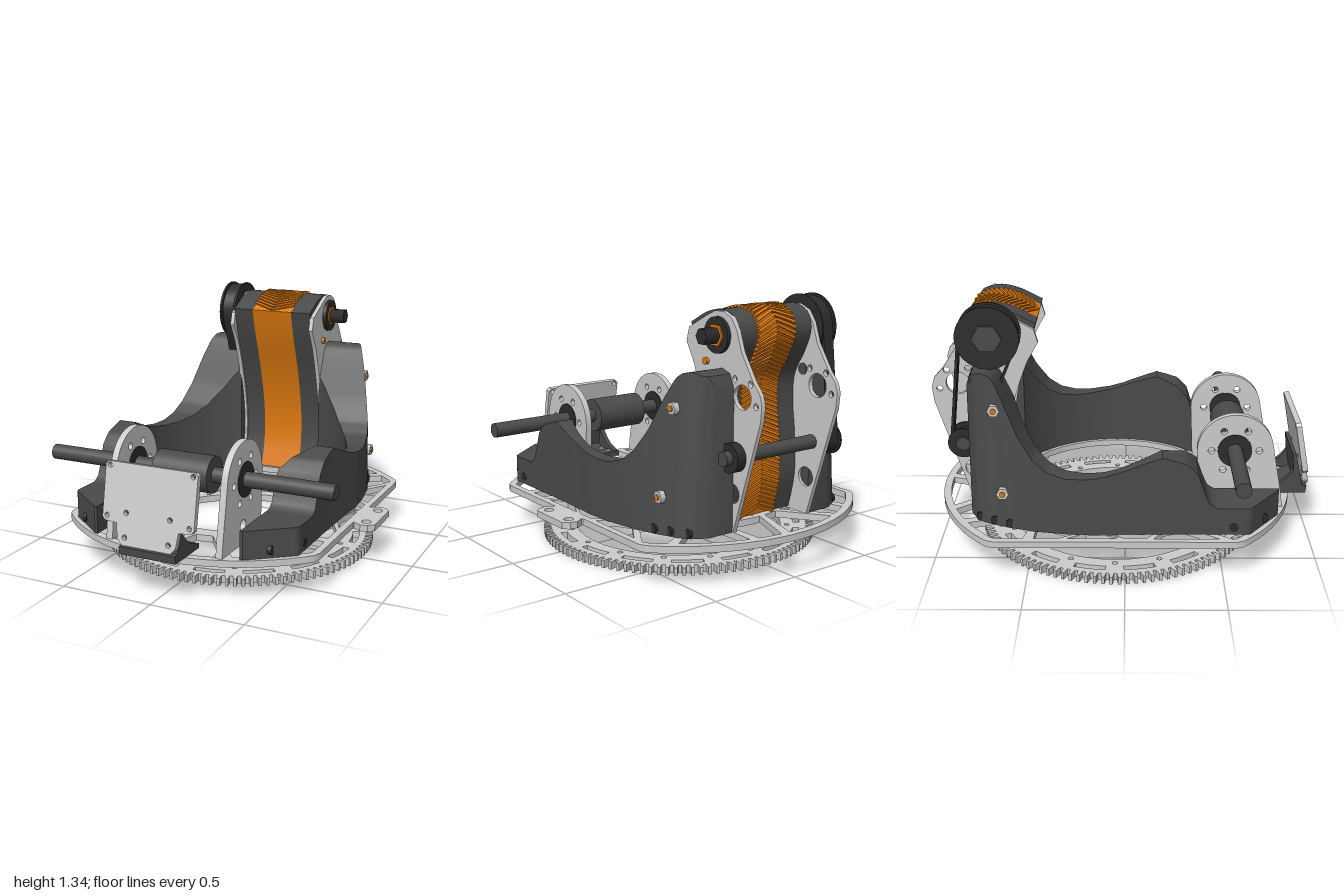
import * as THREE from 'three';
import { toCreasedNormals } from 'three/addons/utils/BufferGeometryUtils.js';

const mat = (color) => new THREE.MeshStandardMaterial({ color, side: THREE.DoubleSide });
const light = mat(0xcccccc), dark = mat(0x4a4a4a), black = mat(0x2c2c2c), orange = mat(0xe07b10);
const C = -0.052; // z of the turntable axis
const V = (p) => new THREE.Vector2(p[0], p[1]);
const polar = (r, a) => [r * Math.cos(a), r * Math.sin(a)];

export function createModel() {
  const root = new THREE.Group();
  root.name = 'turretMechanism';
  root.position.x = -0.02;

  const add = (name, geo, material) => {
    const m = new THREE.Mesh(geo, material);
    m.name = name;
    root.add(m);
    return m;
  };
  const shapeOf = (pts, holes = []) => {
    const s = new THREE.Shape(pts.map(V));
    holes.forEach(([x, y, r]) => s.holes.push(new THREE.Path().absarc(x, y, r, 0, Math.PI * 2, true)));
    return s;
  };
  const extrude = (shape, depth) =>
    toCreasedNormals(new THREE.ExtrudeGeometry(shape, { depth, bevelEnabled: false, curveSegments: 20 }), 0.5);
  // upright slab: shape drawn in (z, y), thickness along x
  const slabX = (name, shape, x, d, m) => add(name, extrude(shape, d).rotateY(-Math.PI / 2).translate(x + d / 2, 0, 0), m);
  // flat slab: shape drawn in (x, -z) around the turntable axis
  const slabY = (name, shape, y, d, m) => add(name, extrude(shape, d).rotateX(-Math.PI / 2).translate(0, y, C), m);
  const cylX = (name, r, len, x, y, z, m, seg = 32) =>
    add(name, new THREE.CylinderGeometry(r, r, len, seg).rotateZ(Math.PI / 2).translate(x, y, z), m);
  // piecewise linear table lookup, keys descending
  const table = (pts) => (z) => {
    let i = 0;
    while (i < pts.length - 2 && z < pts[i + 1][0]) i++;
    const [a, b] = [pts[i], pts[i + 1]];
    return a[1] + ((b[1] - a[1]) * THREE.MathUtils.clamp((z - a[0]) / (b[0] - a[0]), 0, 1));
  };
  const sector = (ri, ro, a0, a1, b0, b1, n = 8) => {
    const pts = [];
    for (let i = 0; i <= n; i++) pts.push(polar(ri, a0 + ((a1 - a0) * i) / n));
    for (let i = n; i >= 0; i--) {
      const t = b0 + ((b1 - b0) * i) / n;
      pts.push(polar(typeof ro === 'function' ? ro(t) : ro, t));
    }
    return new THREE.Path(pts.map(V));
  };

  // Ring gear with teeth, slots and bolt holes
  const teeth = 110, gearPts = [];
  for (let i = 0; i < teeth; i++)
    [[0, 0.705], [0.3, 0.705], [0.42, 0.745], [0.78, 0.745], [0.9, 0.705]].forEach(([f, r]) =>
      gearPts.push(polar(r, ((i + f) / teeth) * Math.PI * 2)));
  const gear = shapeOf(gearPts, [[0, 0, 0.565]]);
  for (let i = 0; i < 16; i++) {
    const a = (i * Math.PI) / 8;
    gear.holes.push(sector(0.635, 0.67, a + 0.07, a + 0.32, a + 0.07, a + 0.32));
    gear.holes.push(new THREE.Path().absarc(...polar(0.6, a), 0.014, 0, Math.PI * 2, true));
  }
  slabY('ringGear', gear, 0, 0.04, light);

  // Truss base plate: disc cut straight on both sides, zigzag struts
  const rim = (R, w) => (a) => Math.min(R, w / Math.max(1e-6, Math.abs(Math.cos(a))));
  const outline = [], outer = rim(0.955, 0.715);
  for (let i = 0; i < 160; i++) outline.push(polar(outer((i / 160) * Math.PI * 2), (i / 160) * Math.PI * 2));
  const base = shapeOf(outline, [[0, 0, 0.565]]);
  const inner = rim(0.915, 0.68);
  for (let i = 0; i < 20; i++) {
    const a = (i * Math.PI) / 10, b = a + Math.PI / 10, k = i % 2 ? 0.06 : -0.06, w = 0.028;
    base.holes.push(sector(0.645, inner, a + w + k, b - w - k, a + w - k, b - w + k));
  }
  for (let i = 0; i < 8; i++)
    base.holes.push(new THREE.Path().absarc(...polar(0.597, (i * Math.PI) / 4), 0.017, 0, Math.PI * 2, true));
  slabY('basePlate', base, 0.19, 0.035, light);
  slabY('basePlateTab', shapeOf([[0.69, -0.155], [0.72, -0.13], [0.76, -0.155], [0.8, -0.15], [0.83, -0.12], [0.83, 0.12],
    [0.8, 0.15], [0.76, 0.155], [0.72, 0.13], [0.69, 0.155]], [[0.775, 0.095, 0.025], [0.775, -0.095, 0.025]]), 0.19, 0.035, light);

  // Curved side walls, lofted from front to back
  const topY = table([[0.8, 0.37], [0.46, 0.37], [0.425, 0.395], [0.4, 0.45], [0.365, 0.555], [0.31, 0.61], [0.25, 0.63],
    [0.185, 0.648], [0.08, 0.61], [-0.02, 0.572], [-0.1, 0.548], [-0.2, 0.533], [-0.3, 0.533], [-0.39, 0.56], [-0.46, 0.615],
    [-0.53, 0.72], [-0.61, 0.9], [-0.65, 0.985], [-0.68, 1.012], [-0.72, 1.02], [-0.775, 1.0], [-0.805, 0.93]]);
  const outX = table([[0.8, 0.415], [0.63, 0.635], [0.2, 0.635], [-0.15, 0.648], [-0.285, 0.638], [-0.45, 0.61], [-0.6, 0.565],
    [-0.7, 0.52], [-0.76, 0.48], [-0.805, 0.4]]);
  const inX = (z) => Math.max(z > 0 ? 0.4 : 0.25, Math.sqrt(Math.max(0, 0.342 - (z - C) ** 2)));
  const lean = (z, y) => (z < 0 ? Math.max(0, y - 0.55) * 0.13 : 0);
  const N = 107;
  for (const s of [1, -1]) {
    const pos = [], idx = [];
    const tri = (a, b, c) => (s > 0 ? idx.push(a, b, c) : idx.push(a, c, b));
    for (let i = 0; i <= N; i++) {
      const z = 0.8 - (1.605 * i) / N, y = topY(z), xi = inX(z), xo = outX(z), o = i * 4;
      pos.push(xi * s, 0.225, z, xo * s, 0.225, z, (xo - lean(z, y)) * s, y, z, xi * s, y, z);
      if (i < N)
        for (let k = 0; k < 4; k++) {
          const p = o + k, q = o + ((k + 1) % 4);
          tri(p, p + 4, q);
          tri(q, p + 4, q + 4);
        }
    }
    tri(0, 1, 2); tri(0, 2, 3);
    tri(N * 4, N * 4 + 2, N * 4 + 1); tri(N * 4, N * 4 + 3, N * 4 + 2);
    const g = new THREE.BufferGeometry();
    g.setAttribute('position', new THREE.Float32BufferAttribute(pos, 3));
    g.setIndex(idx);
    g.computeVertexNormals();
    add('sideWall', toCreasedNormals(g, 0.6), dark);
    // fasteners on the outer face
    [[-0.655, 0.845], [-0.62, 0.415]].forEach(([z, y]) => {
      const x = s * (outX(z) - lean(z, y));
      cylX('hexNut', 0.032, 0.03, x, y, z, light, 6);
      cylX('boltEnd', 0.015, 0.045, x, y, z, orange, 12);
    });
    [[-0.585, 0.25], [-0.665, 0.25], [-0.745, 0.25], [0.71, 0.265], [0.55, 0.265]].forEach(([z, y]) =>
      cylX('screw', 0.024, 0.02, s * (outX(z) - 0.008), y, z, black, 16));
  }

  // Hood: front ramp curve and back path in (z, y)
  const curve = (pts, n) => new THREE.SplineCurve(pts.map(V)).getSpacedPoints(n).map((p) => [p.x, p.y]);
  const ramp = curve([[-0.6, 0.235], [-0.64, 0.42], [-0.632, 0.62], [-0.575, 0.85], [-0.5, 1.06], [-0.455, 1.215]], 24);
  const backPath = new THREE.SplineCurve([[-0.47, 1.22], [-0.58, 1.275], [-0.69, 1.295], [-0.78, 1.262], [-0.812, 1.175],
    [-0.77, 1.06], [-0.705, 0.94], [-0.695, 0.8], [-0.715, 0.62], [-0.72, 0.42], [-0.68, 0.235]].map(V));
  const hood = [...ramp, ...backPath.getSpacedPoints(50).map((p) => [p.x, p.y])];
  slabX('conveyorBelt', shapeOf(hood), 0, 0.24, orange);
  const ribs = 58, ribGeo = new THREE.BoxGeometry(0.13, 0.022, 0.014);
  for (let i = 1; i < ribs; i++) {
    const p = backPath.getPointAt(i / ribs), t = backPath.getTangentAt(i / ribs);
    const rib = new THREE.Group();
    rib.name = 'chevronRib';
    rib.position.set(0, p.y, p.x);
    rib.rotation.x = Math.atan2(t.y, -t.x);
    for (const s of [1, -1]) {
      const m = new THREE.Mesh(ribGeo, orange);
      m.name = 'ribHalf';
      m.position.x = s * 0.06;
      m.rotation.y = s * 0.4;
      rib.add(m);
    }
    root.add(rib);
  }
  const plateFront = ramp.slice(0, 20).map(([z, y], i) => [z + 0.012, i ? y : 0.225]);
  const hoodPlate = [[-0.81, 0.225], ...plateFront, [-0.445, 1.12], [-0.465, 1.19], [-0.6, 1.26], [-0.66, 1.287], [-0.72, 1.29],
    [-0.78, 1.265], [-0.82, 1.21], [-0.855, 1.11], [-0.94, 0.98], [-0.985, 0.93], [-1.0, 0.88], [-0.992, 0.8]];
  for (const s of [1, -1]) {
    slabX('hoodSide', shapeOf(hood), s * 0.178, 0.116, dark);
    slabX('hoodPlate', shapeOf(hoodPlate, [[-0.865, 0.9, 0.06], [-0.81, 0.98, 0.016], [-0.92, 0.97, 0.016],
      [-0.96, 0.87, 0.016], [-0.8, 0.42, 0.05]]), s * 0.246, 0.023, light);
    cylX('rollerBearing', 0.088, 0.03, s * 0.262, 1.175, -0.69, black);
    cylX('bearingRing', 0.057, 0.04, s * 0.264, 1.175, -0.69, orange, 6);
    cylX('hoodBolt', 0.017, 0.04, s * 0.255, 1.04, -0.605, orange, 12);
  }
  cylX('upperRollerShaft', 0.042, 0.73, 0, 1.175, -0.69, black, 6);
  cylX('lowerRollerShaft', 0.036, 0.73, -0.015, 0.61, -0.835, dark, 24);
  cylX('lowerShaftCollar', 0.072, 0.05, 0.29, 0.61, -0.835, black, 24);
  cylX('spacer', 0.03, 0.16, -0.31, 0.97, -0.76, dark, 16);
  cylX('spacer', 0.035, 0.08, 0.28, 0.885, -0.75, dark, 16);

  // Belt drive on the right side
  const drive = [[1.175, -0.69, 0.152], [0.61, -0.835, 0.07]];
  drive.forEach(([y, z, r]) => {
    cylX('pulley', r - 0.012, 0.09, -0.32, y, z, black, 40);
    for (const s of [1, -1]) cylX('pulleyFlange', r + 0.01, 0.01, -0.32 + s * 0.044, y, z, black, 40);
    cylX('pulleyHub', r * 0.5, 0.12, -0.32, y, z, dark, 6);
  });
  const loop = (P, d) => {
    const [[y1, z1, r1], [y2, z2, r2]] = drive;
    const a = Math.atan2(y2 - y1, z2 - z1), b = Math.acos((r1 - r2) / Math.hypot(y2 - y1, z2 - z1));
    return new P().absarc(z1, y1, r1 - d, a + b, a - b + Math.PI * 2).absarc(z2, y2, r2 - d, a - b, a + b);
  };
  const belt = loop(THREE.Shape, 0);
  belt.holes.push(loop(THREE.Path, 0.015));
  slabX('driveBelt', belt, -0.32, 0.065, black);

  // Front roller with its two round supports
  cylX('frontShaft', 0.04, 1.595, 0, 0.55, 0.572, dark, 24);
  cylX('frontRoller', 0.095, 0.31, 0, 0.55, 0.572, dark, 40);
  const support = [[0.39, 0.225], [0.835, 0.225], [0.825, 0.3]];
  for (let i = 0; i <= 28; i++) {
    const p = polar(0.2, 0.2 + (i / 28) * (Math.PI - 0.2 + 0.1));
    support.push([0.575 - p[0] * -1, 0.55 + p[1]]);
  }
  const ringHoles = [];
  for (let i = 0; i < 6; i++) {
    const p = polar(0.125, (i * Math.PI) / 3);
    ringHoles.push([0.575 + p[0], 0.55 + p[1], 0.018]);
  }
  for (const s of [1, -1]) {
    slabX('rollerSupport', shapeOf(support, [...ringHoles, [0.6, 0.32, 0.03]]), s * 0.307, 0.035, light);
    cylX('supportBearing', 0.09, 0.045, s * 0.307, 0.55, 0.572, black);
  }

  // Tilted front panel on its bracket
  const half = [[0.235, 0.2], [0.25, 0.185], [0.25, -0.075], [0.235, -0.09], [0.17, -0.095], [0.16, -0.17], [0.135, -0.2]];
  const panelHoles = [];
  for (const s of [1, -1])
    [[0.225, 0.18], [0.225, -0.065], [0.12, -0.04], [0.12, -0.16]].forEach(([x, y]) => panelHoles.push([s * x, y, 0.013]));
  const panel = shapeOf([...half, ...half.map(([x, y]) => [-x, y]).reverse()], panelHoles);
  const panelMesh = add('frontPanel', extrude(panel, 0.03).translate(0, 0, -0.015), light);
  panelMesh.position.set(0, 0.472, 0.947);
  panelMesh.rotation.x = -0.185;
  const web = [[0.75, 0.225], [0.985, 0.225], [0.99, 0.265], [0.965, 0.27], [0.925, 0.455], [0.905, 0.455], [0.915, 0.36]];
  slabX('panelBracket', shapeOf([...web, [0.93, 0.27], [0.9, 0.25], [0.75, 0.25]]), 0, 0.31, dark);
  for (const s of [1, -1]) {
    slabX('bracketGusset', shapeOf([...web, [0.885, 0.32], [0.84, 0.28], [0.78, 0.258]]), s * 0.14, 0.03, dark);
    [0.785, 0.865].forEach((z) => add('bracketScrew', new THREE.CylinderGeometry(0.015, 0.015, 0.02, 12).translate(s * 0.1, 0.248, z), light));
  }
  return root;
}
